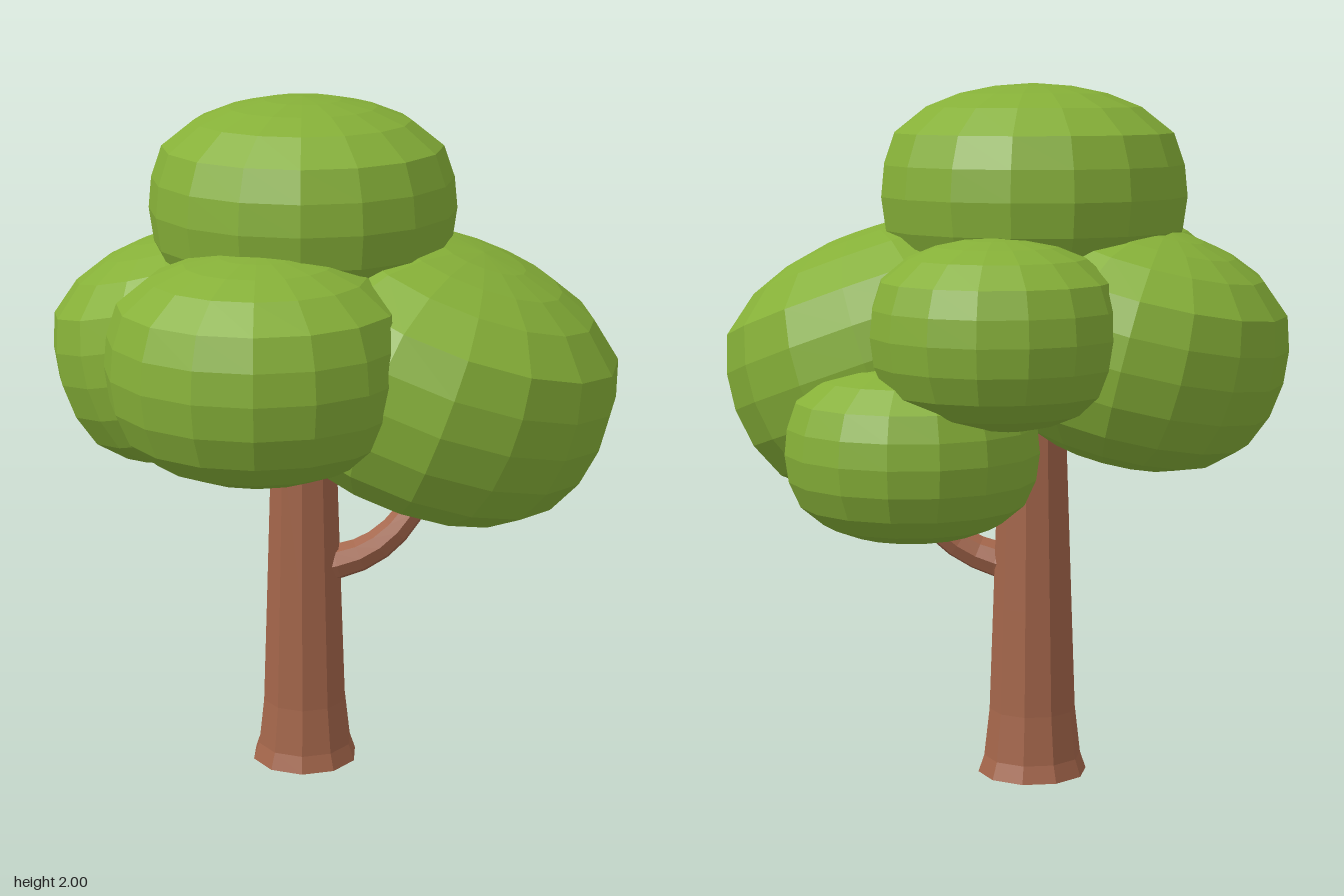
import * as THREE from 'three';

const leafGreen = new THREE.MeshStandardMaterial({ color: 0x86b038, flatShading: true });
leafGreen.name = 'leafGreen';
const barkBrown = new THREE.MeshStandardMaterial({ color: 0xa3654a, flatShading: true });
barkBrown.name = 'barkBrown';

const toPoints = (pairs) => pairs.map((p) => new THREE.Vector2(...p));

// Unit puff of foliage: a domed profile turned into 16 sides, flat sides facing the axes
const PUFF_SIDES = 16;
const puffProfile = [
  [0, -1], [0.25, -0.975], [0.48, -0.91], [0.7, -0.79], [0.88, -0.58], [0.97, -0.3],
  [1, 0], [0.98, 0.28], [0.91, 0.56], [0.7, 0.79], [0.48, 0.91], [0.25, 0.975], [0, 1],
];
const puffStretch = 1 / Math.cos(Math.PI / PUFF_SIDES);
function puffGeometry(rx, ry, rz) {
  const geo = new THREE.LatheGeometry(toPoints(puffProfile), PUFF_SIDES, Math.PI / PUFF_SIDES);
  return geo.scale(rx * puffStretch, ry, rz * puffStretch);
}

// Tube that narrows from its start to its end
function taperedTube(points, r0, r1, segments, sides) {
  const curve = new THREE.CatmullRomCurve3(points.map((p) => new THREE.Vector3(...p)));
  const geo = new THREE.TubeGeometry(curve, segments, 1, sides, false);
  const pos = geo.attributes.position;
  const v = new THREE.Vector3();
  for (let i = 0; i < pos.count; i++) {
    const t = Math.floor(i / (sides + 1)) / segments;
    const c = curve.getPointAt(t);
    v.fromBufferAttribute(pos, i).sub(c).multiplyScalar(r0 + (r1 - r0) * t).add(c);
    pos.setXYZ(i, v.x, v.y, v.z);
  }
  geo.computeVertexNormals();
  return geo;
}

export function createModel() {
  const tree = new THREE.Group();
  tree.name = 'tree';
  const add = (name, geo, material) => {
    const mesh = new THREE.Mesh(geo, material);
    mesh.name = name;
    tree.add(mesh);
    return mesh;
  };

  // Trunk with flared foot and closed base
  const trunkProfile = [[0, 0], [0.159, 0], [0.142, 0.05], [0.126, 0.19], [0.115, 0.5], [0.098, 1.0], [0.088, 1.3], [0, 1.3]];
  const trunk = add('trunk', new THREE.LatheGeometry(toPoints(trunkProfile), 10, Math.PI / 20), barkBrown);
  trunk.position.set(-0.08, 0, -0.033);

  // Side branch reaching up into the low foliage
  add('branch', taperedTube([
    [-0.04, 0.61, -0.035], [0.04, 0.63, -0.042], [0.115, 0.66, -0.06], [0.2, 0.735, -0.095], [0.26, 0.845, -0.145], [0.29, 0.93, -0.18],
  ], 0.056, 0.034, 8, 8), barkBrown);

  // Foliage: name, centre, radii, sideways tilt
  const puffs = [
    ['topFoliage', [-0.08, 1.685, -0.033], [0.43, 0.315, 0.43], 0],
    ['frontFoliage', [-0.123, 1.315, 0.352], [0.415, 0.315, 0.415], 0],
    ['leftFoliage', [0.31, 1.22, -0.033], [0.51, 0.38, 0.54], -0.35],
    ['rightFoliage', [-0.4, 1.27, -0.05], [0.41, 0.335, 0.43], 0.25],
    ['backFoliage', [-0.115, 1.33, -0.43], [0.342, 0.262, 0.342], 0],
    ['lowBackFoliage', [0.135, 1.0, -0.425], [0.348, 0.252, 0.348], 0],
  ];
  for (const [name, centre, radii, tilt] of puffs) {
    const puff = add(name, puffGeometry(...radii), leafGreen);
    puff.position.set(...centre);
    puff.rotation.z = tilt;
  }
  return tree;
}
